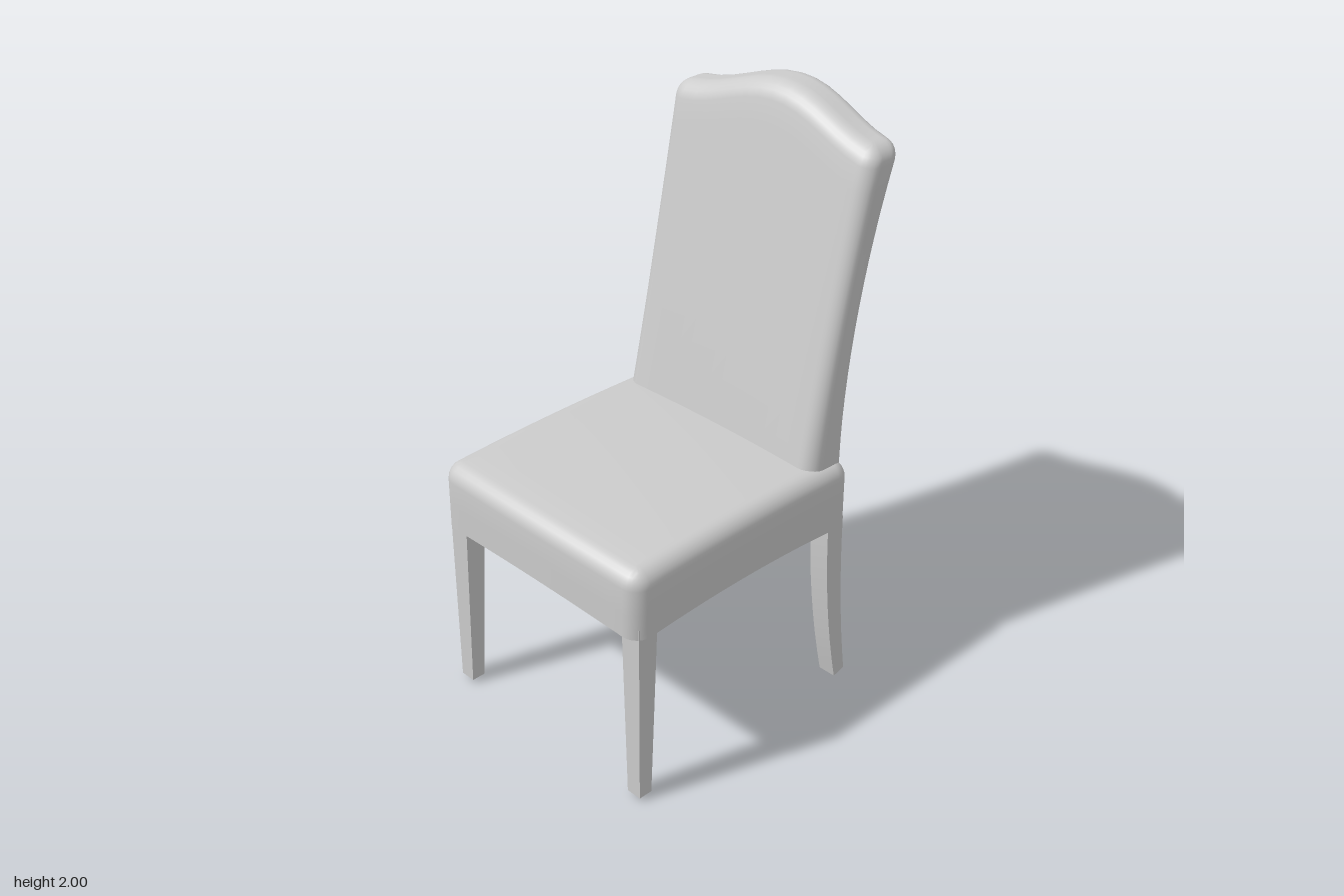
import * as THREE from 'three';
import { toCreasedNormals } from 'three/addons/utils/BufferGeometryUtils.js';

const material = new THREE.MeshStandardMaterial({ color: 0xcccccc });

// Skin a stack of equal-length closed rings, lowest first
function loft(rings, crease) {
  const n = rings[0].length, index = [];
  for (let k = 0; k < rings.length - 1; k++) {
    for (let i = 0; i < n; i++) {
      const a = k * n + i, b = k * n + (i + 1) % n;
      index.push(a, a + n, b, b, a + n, b + n);
    }
  }
  const g = new THREE.BufferGeometry();
  g.setAttribute('position', new THREE.Float32BufferAttribute(rings.flat(2), 3));
  g.setIndex(index);
  return toCreasedNormals(g, crease);
}

// Rounded rectangle in x/z with subdivided sides
function outline(w, d, r, arc = 6, side = 14) {
  const pts = [], signs = [[1, 1], [-1, 1], [-1, -1], [1, -1]];
  const corner = (c, t) => {
    const a = (c + t) * Math.PI / 2;
    return [signs[c][0] * (w - r) + r * Math.cos(a), signs[c][1] * (d - r) + r * Math.sin(a)];
  };
  for (let c = 0; c < 4; c++) {
    for (let i = 0; i <= arc; i++) pts.push(corner(c, i / arc));
    const p = corner(c, 1), q = corner((c + 1) % 4, 0);
    for (let i = 1; i < side; i++) {
      pts.push([p[0] + (q[0] - p[0]) * i / side, p[1] + (q[1] - p[1]) * i / side]);
    }
  }
  return pts;
}

// Upholstered block: curved underside, straight wall, rolled top edge, curved top
function cushion({ w, d, r, roll, wallSteps, bottom, top, bend }) {
  const rings = [];
  const add = (inset, squeeze, height) => {
    const pts = outline(w - inset, d - inset, Math.max(r - inset, 0.006));
    rings.push(pts.map(([x, z]) => {
      x *= 0.85 + 0.15 * squeeze;
      z *= squeeze;
      return bend(x, height(x, z), z);
    }));
  };
  for (const s of [0, 0.35, 0.7, 1]) add(0, s, bottom);
  for (let k = 1; k <= wallSteps; k++) {
    add(0, 1, (x, z) => bottom(x, z) + (top(x, z) - roll - bottom(x, z)) * k / wallSteps);
  }
  for (let k = 1; k <= 6; k++) {
    const a = k / 6 * Math.PI / 2;
    add(roll * (1 - Math.cos(a)), 1, (x, z) => top(x, z) - roll * (1 - Math.sin(a)));
  }
  for (const s of [0.8, 0.6, 0.4, 0.2, 0]) add(roll, s, top);
  return loft(rings, 0.8);
}

// Square leg from sections [y, inner x, outer x, back z, front z, tilt]
function leg(sections, side) {
  const rings = sections.map(([y, xi, xo, zb, zf, tilt = 0]) => {
    const ring = [[xo, y, zf], [xi, y, zf], [xi, y + tilt, zb], [xo, y + tilt, zb]];
    return side > 0 ? ring : ring.map(([x, h, z]) => [-x, h, z]).reverse();
  });
  const cap = ring => {
    const c = [0, 1, 2].map(j => ring.reduce((s, p) => s + p[j] / 4, 0));
    return ring.map(() => c);
  };
  return loft([cap(rings[0]), ...rings, cap(rings[rings.length - 1])], 0.5);
}

export function createModel() {
  const chair = new THREE.Group();
  chair.name = 'chair';
  const add = (name, geometry) => {
    const mesh = new THREE.Mesh(geometry, material);
    mesh.name = name;
    chair.add(mesh);
  };

  // Seat: domed top, arched lower edge, slightly bowed front
  const W = 0.457, D = 0.475;
  const bow = (v, half) => 1 - (v / half) ** 2;
  add('seat', cushion({
    w: W, d: D, r: 0.06, roll: 0.055, wallSteps: 2,
    bottom: (x, z) => 0.63 + 0.024 * (bow(x, W) + bow(z, D)),
    top: (x, z) => 0.863 + 0.011 * (bow(x, W) + bow(z, D)),
    bend: (x, y, z) => [x, y, 0.101 + z + 0.014 * bow(x, W) * Math.max(0, z / D)],
  }));

  // Backrest: leaning, curved rear, waisted sides, crested top
  const frontZ = y => -0.205 - 0.2135 * (y - 0.87);
  const backZ = y => -0.378 - 0.014 * (y - 0.8) - 0.15 * (y - 0.8) ** 2;
  add('backrest', cushion({
    w: 0.418, d: 0.08, r: 0.055, roll: 0.055, wallSteps: 14,
    bottom: () => 0.78,
    top: x => 1.95 + 0.05 * Math.cos(Math.PI * Math.min(1, Math.abs(x - 0.015) / 0.41)),
    bend: (x, y, z) => {
      const f = frontZ(y), b = backZ(y);
      return [x * (1 + 0.03 * ((y - 1.3) / 0.6) ** 2), y, (f + b) / 2 + z / 0.16 * (f - b)];
    },
  }));

  // Legs: straight tapered front pair, rear pair sweeping backwards
  const frontLeg = [[0.013, 0.385, 0.44, 0.505, 0.555], [0.67, 0.368, 0.445, 0.48, 0.556]];
  const rearLeg = [];
  for (let k = 0; k <= 8; k++) {
    const t = k / 8, s = (1 - t) ** 2;
    rearLeg.push([0.66 * t, 0.375 - 0.008 * t, 0.44 + 0.004 * t,
      -0.353 - 0.049 * s, -0.283 - 0.072 * s, 0.012 * (1 - t)]);
  }
  for (const [label, side] of [['Left', 1], ['Right', -1]]) {
    add('frontLeg' + label, leg(frontLeg, side));
    add('rearLeg' + label, leg(rearLeg, side));
  }
  return chair;
}
